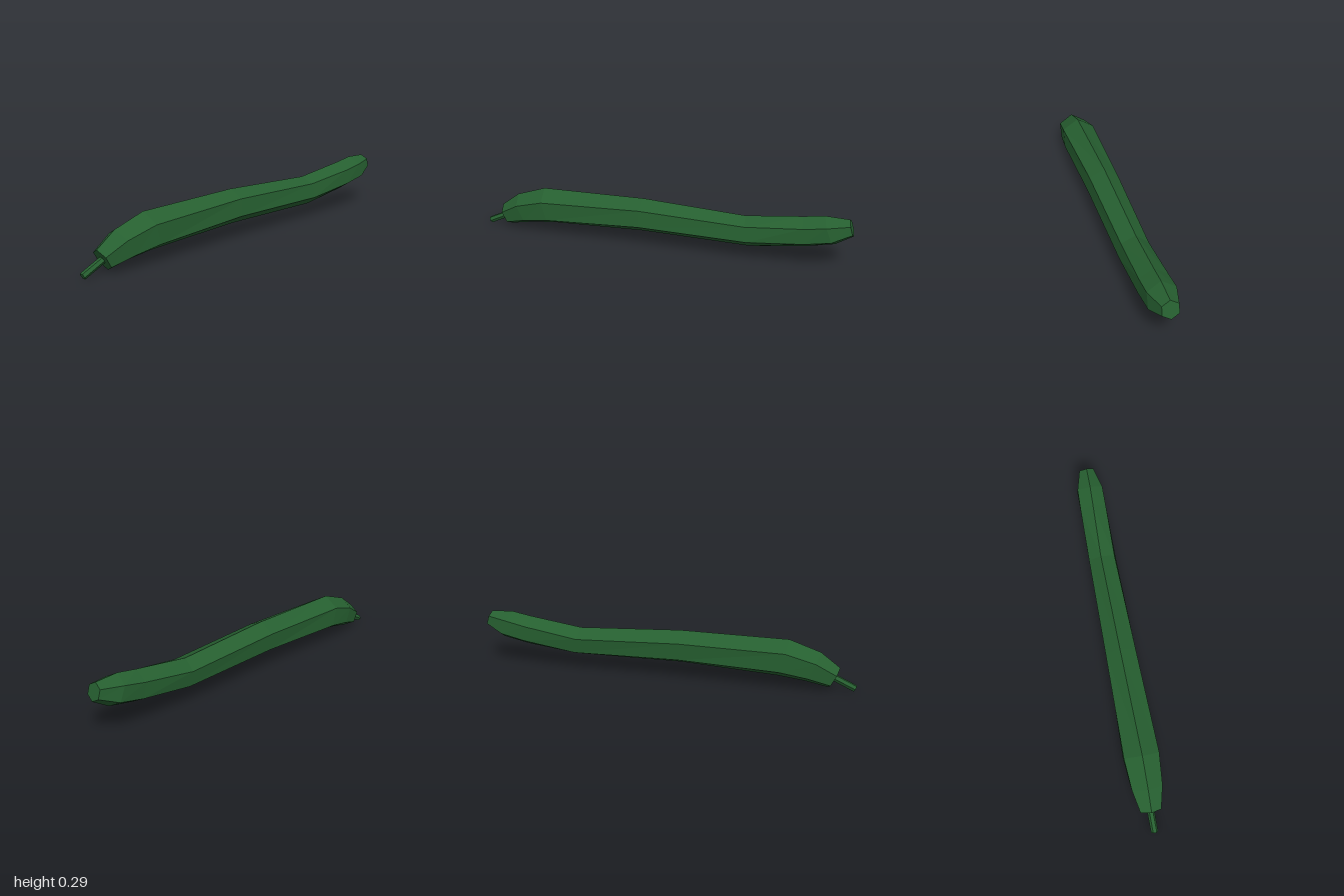
import * as THREE from 'three';

const skin = new THREE.MeshStandardMaterial({ color: 0x265f30, flatShading: true });
skin.name = 'dark green skin';

const SIDES = 6;

// Rings along the body: top corner x, y, bottom corner x, y, twist in degrees
const RINGS = [
  [-0.91, 0.125, -0.855, 0.017, 0],
  [-0.81, 0.2, -0.735, 0.04, 0],
  [-0.65, 0.255, -0.6, 0.056, 0],
  [-0.09, 0.263, -0.09, 0.082, 5],
  [0.455, 0.237, 0.485, 0.078, 8],
  [0.745, 0.276, 0.77, 0.116, 2],
  [0.85, 0.294, 0.91, 0.147, 0],
  [0.97, 0.29, 0.997, 0.203, 0],
];

// Hexagonal ring in the plane of its slanted up direction and z
function ringPoints([tx, ty, bx, by, twist]) {
  const up = new THREE.Vector3(tx - bx, ty - by, 0).multiplyScalar(0.5);
  const centre = new THREE.Vector3((tx + bx) / 2, (ty + by) / 2, 0);
  const r = up.length();
  return Array.from({ length: SIDES }, (_, k) => {
    const a = (k / SIDES) * Math.PI * 2 - THREE.MathUtils.degToRad(twist);
    return centre.clone().addScaledVector(up, Math.cos(a)).add(new THREE.Vector3(0, 0, r * Math.sin(a)));
  });
}

function bodyGeometry() {
  const rings = RINGS.map(ringPoints);
  const points = [];
  const first = rings[0];
  const last = rings[rings.length - 1];
  for (let i = 0; i < rings.length - 1; i++) {
    for (let k = 0; k < SIDES; k++) {
      const n = (k + 1) % SIDES;
      const a = rings[i][k], b = rings[i][n], c = rings[i + 1][n], d = rings[i + 1][k];
      points.push(a, b, d, b, c, d);
    }
  }
  // Flat end caps
  for (let k = 1; k < SIDES - 1; k++) {
    points.push(first[0], first[k + 1], first[k]);
    points.push(last[0], last[k], last[k + 1]);
  }
  const geometry = new THREE.BufferGeometry().setFromPoints(points);
  geometry.computeVertexNormals();
  return geometry;
}

// Six-sided stalk from the body's lower end to its cut tip
function makeStem() {
  const from = new THREE.Vector3(-0.86, 0.082, 0);
  const to = new THREE.Vector3(-0.991, 0.02, 0.003);
  const axis = to.clone().sub(from);
  const stem = new THREE.Mesh(new THREE.CylinderGeometry(0.018, 0.018, axis.length(), SIDES), skin);
  stem.position.copy(from).add(to).multiplyScalar(0.5);
  stem.quaternion.setFromUnitVectors(new THREE.Vector3(0, 1, 0), axis.normalize());
  stem.name = 'stem';
  return stem;
}

export function createModel() {
  const group = new THREE.Group();
  group.name = 'cucumber';
  const body = new THREE.Mesh(bodyGeometry(), skin);
  body.name = 'body';
  group.add(body, makeStem());
  return group;
}
